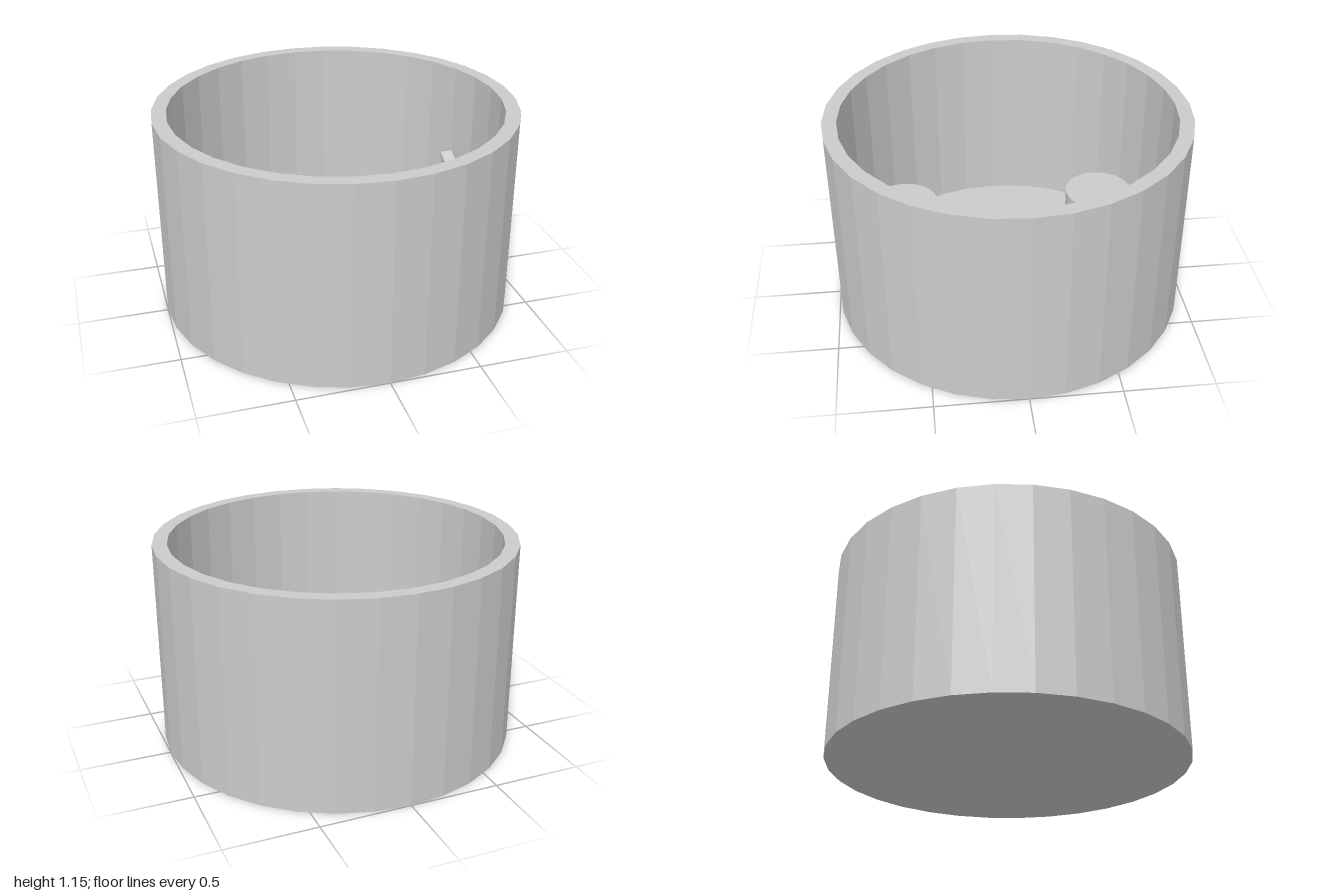
import * as THREE from 'three';

const mat = new THREE.MeshStandardMaterial({ color: 0xcccccc, flatShading: true });
const smooth = new THREE.MeshStandardMaterial({ color: 0xcccccc });
const FLOOR = 0.08;

export function createModel() {
  const model = new THREE.Group();

  const add = (name, geometry, x = 0, y = 0, z = 0, material = mat) => {
    const mesh = new THREE.Mesh(geometry, material);
    mesh.name = name;
    mesh.position.set(x, y, z);
    model.add(mesh);
    return mesh;
  };

  // Profile given as [z, y] points, extruded along x from x0 to x1
  const extrudeX = (points, x0, x1) => {
    const shape = new THREE.Shape(points.map(([z, y]) => new THREE.Vector2(-z, y)));
    const geometry = new THREE.ExtrudeGeometry(shape, { depth: x1 - x0, bevelEnabled: false });
    geometry.rotateY(Math.PI / 2);
    geometry.translate(x0, 0, 0);
    return geometry;
  };

  // Round wall, a closed ring profile with 32 facets
  const ring = [[0.92, 0], [1, 0], [1, 1.15], [0.92, 1.15], [0.92, 0]];
  add('outerWall', new THREE.LatheGeometry(ring.map(([r, y]) => new THREE.Vector2(r, y)), 32));

  // Floor plate closing the bottom
  add('floor', new THREE.CylinderGeometry(0.92, 0.92, FLOOR, 32), 0, FLOOR / 2, 0);

  // Two round support posts
  for (const side of [-1, 1]) {
    const height = 0.39 - FLOOR;
    add('supportPost', new THREE.CylinderGeometry(0.2, 0.2, height, 48), -0.33, FLOOR + height / 2, side * 0.595, smooth);
  }

  // Small square pin at the centre
  add('centrePin', new THREE.BoxGeometry(0.05, 0.06, 0.05), 0, FLOOR + 0.03, 0);

  // Clip: two hooked jaws around a block
  const jaw = [[0.26, FLOOR], [0.26, 0.49], [0.17, 0.54], [0.07, 0.4], [0.07, 0.35], [0.13, 0.35], [0.13, FLOOR]];
  for (const side of [-1, 1]) {
    add('clipJaw', extrudeX(jaw.map(([z, y]) => [side * z, y]), 0.41, 0.775));
  }
  add('clipBlock', new THREE.BoxGeometry(0.27, 0.5 - FLOOR, 0.26), 0.585, (0.5 + FLOOR) / 2, 0);

  // Back plate with a V-shaped top
  const plate = [[-0.18, FLOOR], [0.18, FLOOR], [0.18, 0.5], [0.21, 0.685], [0, 0.58], [-0.21, 0.685], [-0.18, 0.5]];
  add('clipBackPlate', extrudeX(plate, 0.72, 0.79));

  return model;
}
